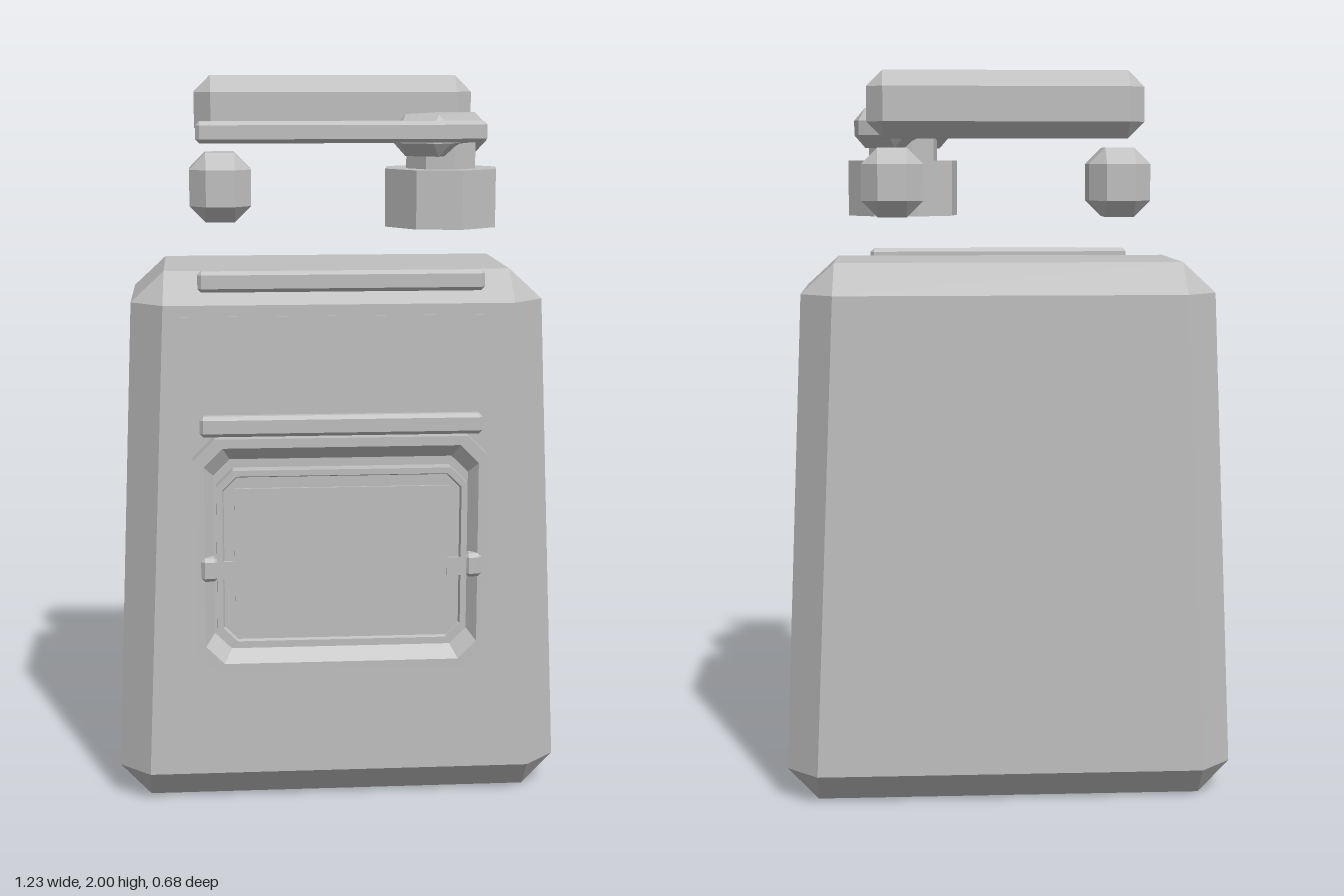
import * as THREE from 'three';

// Eight-point loop: a rectangle in x/z with its corners cut by c
function loop(hx, hz, c, y, cz = 0) {
  return [
    [hx, hz - c], [hx - c, hz], [c - hx, hz], [-hx, hz - c],
    [-hx, c - hz], [c - hx, -hz], [hx - c, -hz], [hx, c - hz],
  ].map(([x, z]) => new THREE.Vector3(x, y, z + cz));
}

// Skin a stack of loops and close both ends
function loft(loops) {
  const pos = [];
  const tri = (a, b, c) => {
    const area = b.clone().sub(a).cross(c.clone().sub(a)).length();
    if (area > 1e-8) for (const p of [a, b, c]) pos.push(p.x, p.y, p.z);
  };
  const n = loops[0].length;
  for (let k = 0; k < loops.length - 1; k++) {
    for (let i = 0; i < n; i++) {
      const j = (i + 1) % n;
      const [a, b, d, e] = [loops[k][i], loops[k][j], loops[k + 1][i], loops[k + 1][j]];
      tri(a, d, b);
      tri(b, d, e);
    }
  }
  const first = loops[0], last = loops[loops.length - 1];
  for (let i = 1; i < n - 1; i++) {
    tri(first[0], first[i], first[i + 1]);
    tri(last[0], last[i + 1], last[i]);
  }
  const g = new THREE.BufferGeometry();
  g.setAttribute('position', new THREE.Float32BufferAttribute(pos, 3));
  g.computeVertexNormals();
  return g;
}

// Box with every edge and corner chamfered
function chamferBox(w, h, d, c) {
  const x = w / 2, y = h / 2, z = d / 2;
  return loft([
    loop(x - c, z - c, 0, -y), loop(x, z, c, c - y),
    loop(x, z, c, y - c), loop(x - c, z - c, 0, y),
  ]);
}

export function createModel() {
  const group = new THREE.Group();
  const grey = new THREE.MeshStandardMaterial({ color: 0xbfbfbf });
  grey.name = 'plain grey';
  grey.flatShading = true;

  const add = (name, geometry, x = 0, y = 0, z = 0) => {
    const mesh = new THREE.Mesh(geometry, grey);
    mesh.name = name;
    mesh.position.set(x, y, z);
    group.add(mesh);
    return mesh;
  };

  // Tapered, chamfered body
  add('body', loft([
    loop(0.53, 0.218, 0, 0, -0.032),
    loop(0.615, 0.305, 0.086, 0.09, -0.032),
    loop(0.56, 0.29, 0.087, 1.4, -0.032),
    loop(0.47, 0.2, 0, 1.483, -0.034),
  ]));

  // Thin panel lying on the sloping front
  const panel = new THREE.Shape([
    new THREE.Vector2(-0.465, -0.61), new THREE.Vector2(0.465, -0.61),
    new THREE.Vector2(0.43, 0.61), new THREE.Vector2(-0.43, 0.61),
  ]);
  add('frontPanel', new THREE.ExtrudeGeometry(panel, { depth: 0.003, bevelEnabled: false }),
    0, 0.76, 0.2645).rotation.x = -0.0115;

  // Pocket frame: rim with a sloped recess inside
  add('pocketFrame', loft([
    loop(0.4, 0.325, 0.06, 0.255), loop(0.4, 0.325, 0.06, 0.325),
    loop(0.37, 0.3, 0.05, 0.325), loop(0.345, 0.265, 0.045, 0.295),
  ]).rotateX(Math.PI / 2), 0, 0.725, 0);

  // Pocket door with a shallow tray, inner plate and side tabs
  add('pocketDoor', loft([
    loop(0.338, 0.245, 0.045, 0.285), loop(0.338, 0.245, 0.045, 0.338),
    loop(0.322, 0.229, 0.038, 0.338), loop(0.318, 0.225, 0.036, 0.328),
  ]).rotateX(Math.PI / 2), 0, 0.722, 0);
  add('doorPlate', new THREE.BoxGeometry(0.58, 0.39, 0.008), 0, 0.722, 0.331);
  for (const s of [-1, 1]) {
    add('doorTab', new THREE.BoxGeometry(0.05, 0.05, 0.009), s * 0.31, 0.692, 0.3335);
    add('doorClasp', chamferBox(0.045, 0.065, 0.045, 0.01), s * 0.358, 0.692, 0.315);
  }

  // Three slim cross bars in front
  for (const y of [1.083, 1.47, 1.857]) {
    add('frontBar', chamferBox(0.76, 0.056, 0.038, 0.01), 0, y, 0.308);
  }

  // Carrying handle and its two mounts
  add('handle', chamferBox(0.765, 0.185, 0.16, 0.045), 0, 1.9075, -0.035);
  for (const s of [-1, 1]) {
    add('handleMount', chamferBox(0.17, 0.19, 0.2, 0.045), s * 0.313, 1.695, -0.037);
  }

  // Filler cap: octagonal base, neck and angled lever
  const turn = THREE.MathUtils.degToRad(59);
  add('capBase', new THREE.CylinderGeometry(0.16, 0.16, 0.155, 8), 0.282, 1.6775, 0.142)
    .rotation.y = turn;
  add('capNeck', new THREE.CylinderGeometry(0.1, 0.1, 0.075, 8), 0.282, 1.785, 0.142)
    .rotation.y = turn;
  add('capLever', chamferBox(0.165, 0.11, 0.33, 0.035), 0.282, 1.845, 0.135)
    .rotation.y = -Math.PI / 6;

  return group;
}
